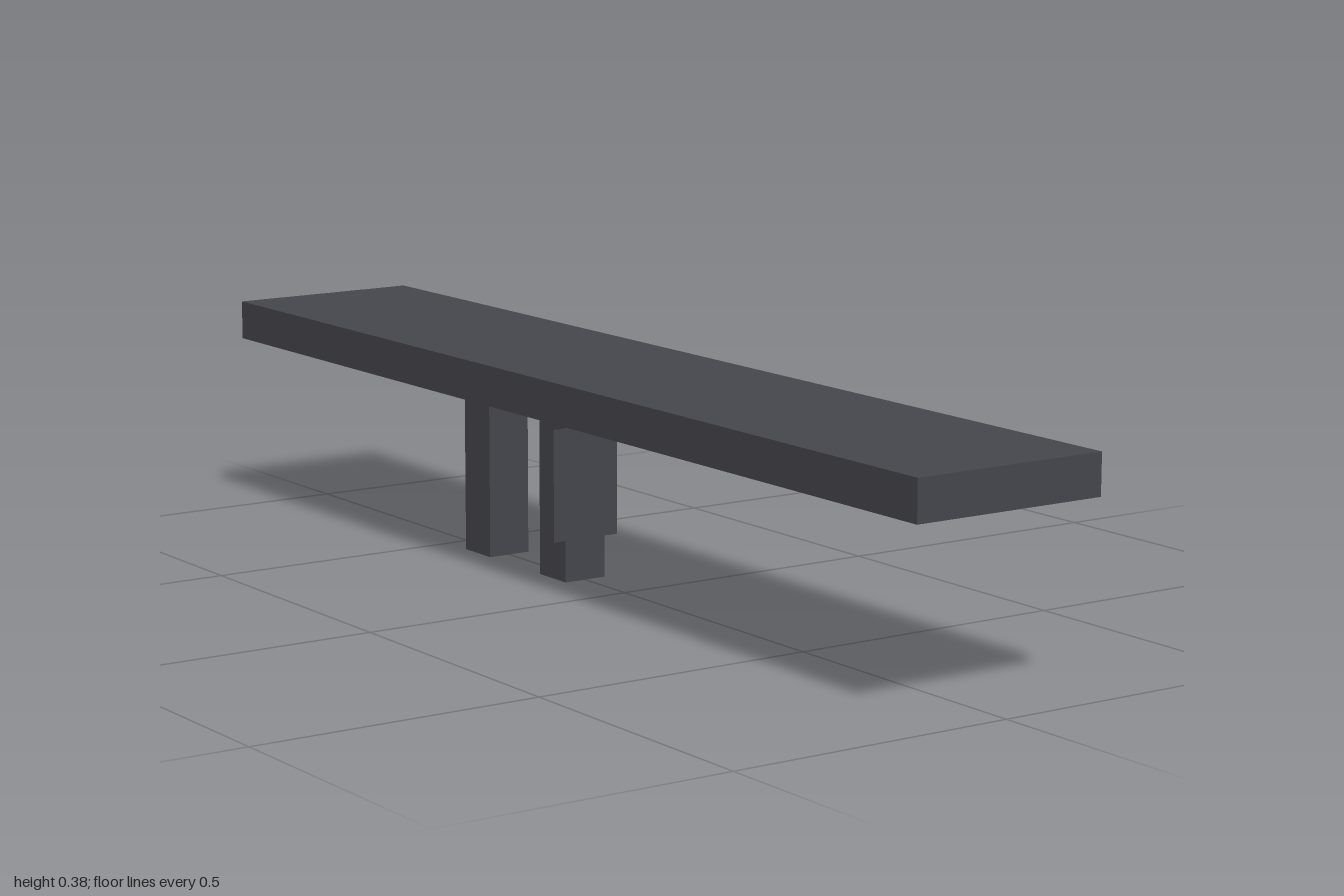
import * as THREE from 'three';

export function createModel() {
  const model = new THREE.Group();
  const charcoal = new THREE.MeshStandardMaterial({ color: 0x46464e });
  charcoal.name = 'charcoal';

  const addBox = (name, [w, h, d], [x, y, z]) => {
    const mesh = new THREE.Mesh(new THREE.BoxGeometry(w, h, d), charcoal);
    mesh.name = name;
    mesh.position.set(x, y, z);
    model.add(mesh);
  };

  const deckBottom = 0.316, deckTop = 0.385;

  // Long flat deck
  addBox('deck', [0.35, deckTop - deckBottom, 2], [0, (deckTop + deckBottom) / 2, 0]);

  // Two square posts under the rear half
  const posts = { frontPost: -0.16, rearPost: -0.4 };
  for (const [name, z] of Object.entries(posts)) {
    addBox(name, [0.08, deckBottom, 0.08], [0, deckBottom / 2, z]);
  }

  // Thin panel on the face of the front post
  addBox('frontPanel', [0.13, 0.195, 0.002], [0, 0.1705, -0.119]);

  return model;
}
